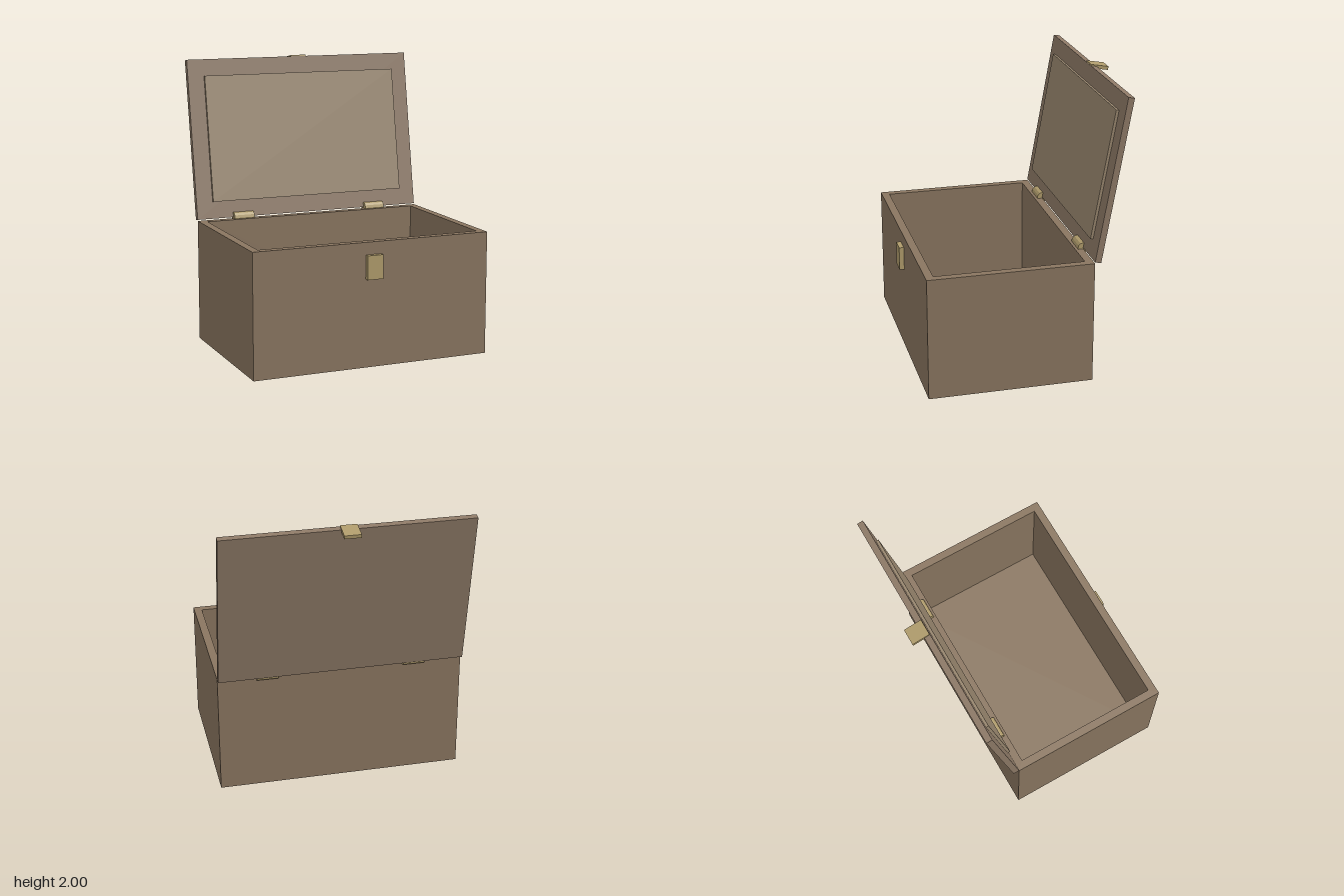
import * as THREE from 'three';

const WIDTH = 1.71, HEIGHT = 0.86, DEPTH = 1.14, WALL = 0.055;
const CENTRE_Z = 0.147, BACK_Z = CENTRE_Z - DEPTH / 2, FRONT_Z = CENTRE_Z + DEPTH / 2;

const material = (color) => new THREE.MeshStandardMaterial({ color, flatShading: true });

function add(parent, name, geometry, mat, x = 0, y = 0, z = 0) {
  const mesh = new THREE.Mesh(geometry, mat);
  mesh.name = name;
  mesh.position.set(x, y, z);
  parent.add(mesh);
  return mesh;
}

// Moves the corners of a shape or path round a centred rectangle
function rectangle(path, w, d) {
  path.moveTo(-w / 2, -d / 2);
  path.lineTo(w / 2, -d / 2);
  path.lineTo(w / 2, d / 2);
  path.lineTo(-w / 2, d / 2);
  path.closePath();
  return path;
}

export function createModel() {
  const model = new THREE.Group();
  model.name = 'chest';
  const wood = material(0x8a7660);
  const lidWood = material(0x8e7a67);
  const panelWood = material(0x9a8870);
  const brass = material(0xb09c6c);

  // Open box: four walls as one ring, with a floor inside
  const innerW = WIDTH - 2 * WALL, innerD = DEPTH - 2 * WALL;
  const ring = rectangle(new THREE.Shape(), WIDTH, DEPTH);
  ring.holes.push(rectangle(new THREE.Path(), innerW, innerD));
  const walls = new THREE.ExtrudeGeometry(ring, { depth: HEIGHT, bevelEnabled: false });
  walls.rotateX(-Math.PI / 2);
  add(model, 'walls', walls, wood, 0, 0, CENTRE_Z);
  add(model, 'floor', new THREE.BoxGeometry(innerW, WALL, innerD), wood, 0, WALL / 2, CENTRE_Z);

  // Lock plate on the front
  add(model, 'lockPlate', new THREE.BoxGeometry(0.114, 0.165, 0.034), brass, 0, 0.692, FRONT_Z + 0.016);

  // Hinge barrels along the back edge
  for (const side of [-1, 1]) {
    const barrel = new THREE.CylinderGeometry(0.037, 0.037, 0.15, 12);
    barrel.rotateZ(Math.PI / 2);
    add(model, side > 0 ? 'leftHinge' : 'rightHinge', barrel, brass, side * 0.512, 0.867, BACK_Z);
  }

  // Lid, standing open and leaning back from the hinge line
  const lid = new THREE.Group();
  lid.name = 'lid';
  lid.position.set(0, 0.868, BACK_Z);
  lid.rotation.x = THREE.MathUtils.degToRad(-10);
  model.add(lid);
  add(lid, 'lidBoard', new THREE.BoxGeometry(WIDTH, DEPTH, 0.043), lidWood, 0, DEPTH / 2, -0.0215);
  add(lid, 'lidPanel', new THREE.BoxGeometry(1.47, 0.9, 0.03), panelWood, 0, DEPTH / 2, 0.004);
  add(lid, 'lidClasp', new THREE.BoxGeometry(0.114, 0.025, 0.126), brass, 0, 1.137, -0.065);

  return model;
}
